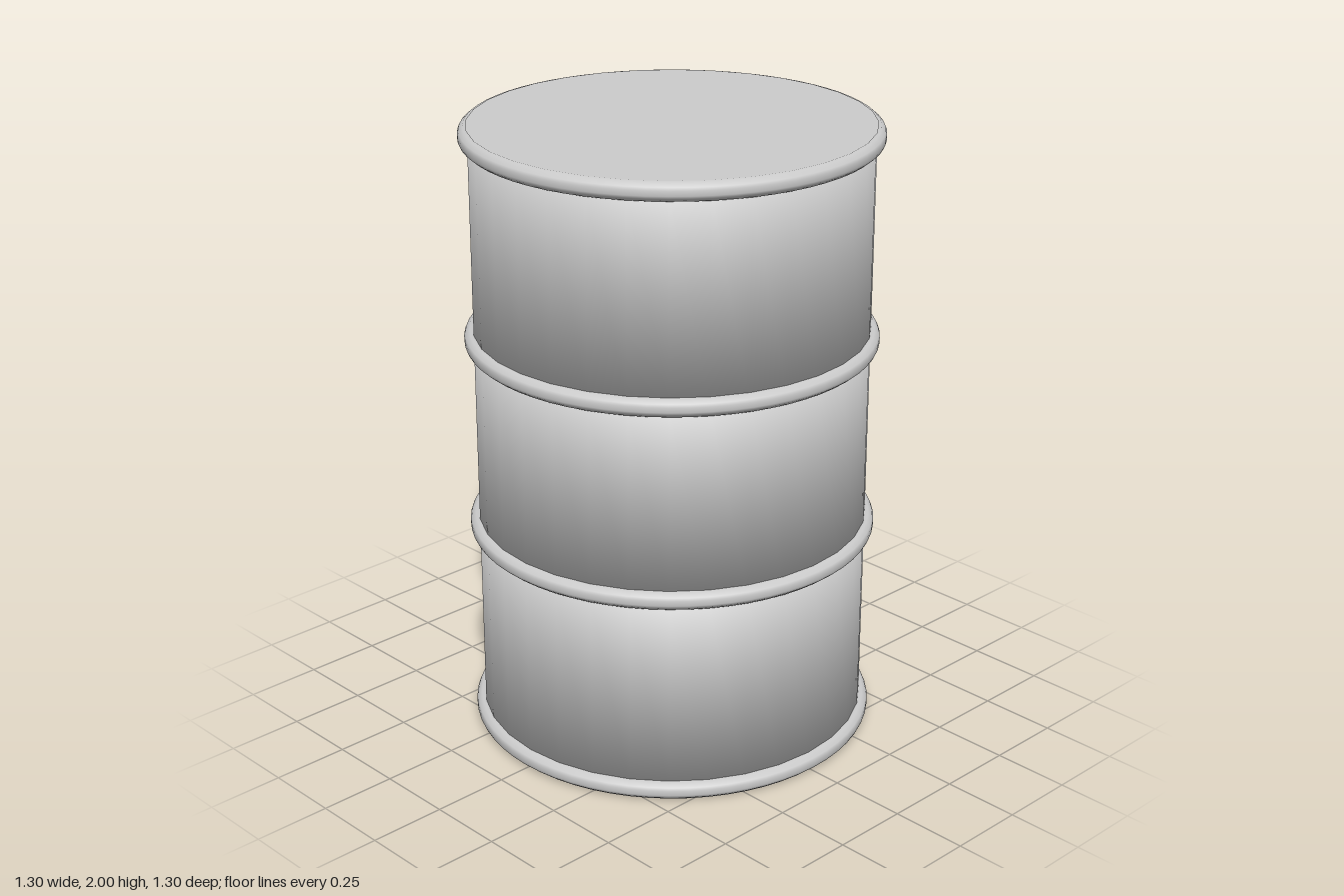
import * as THREE from 'three';

const material = new THREE.MeshStandardMaterial({ color: 0xcccccc });
const WALL = 0.625;
const RIM = 0.652;

function lathe(name, points, segments) {
  const profile = points.map(([r, y]) => new THREE.Vector2(r, y));
  const mesh = new THREE.Mesh(new THREE.LatheGeometry(profile, segments), material);
  mesh.name = name;
  return mesh;
}

export function createModel() {
  const group = new THREE.Group();
  group.name = 'barrel';

  // Rolled hoops: two rims at the ends and two around the body
  const hoopCentres = [0.03, 0.69, 1.317, 1.97];
  const hoopNames = ['bottomRim', 'lowerHoop', 'upperHoop', 'topRim'];
  hoopCentres.forEach((y, i) => {
    const hoop = lathe(hoopNames[i], [
      [WALL - 0.015, -0.029], [0.635, -0.028], [RIM - 0.004, -0.017], [RIM, -0.008],
      [RIM, 0.008], [RIM - 0.004, 0.017], [0.635, 0.028], [WALL - 0.015, 0.029],
    ], 64);
    hoop.position.y = y;
    group.add(hoop);
  });

  // Wall drums between the hoops, with normals softened over their closed ends
  ['lowerWall', 'middleWall', 'upperWall'].forEach((name, i) => {
    const [a, b] = [hoopCentres[i], hoopCentres[i + 1]];
    group.add(lathe(name, [[0, a], [WALL, a], [WALL, b], [0, b]], 32));
  });

  // Flat lid and base
  [['lid', 2, -1], ['base', 0, 1]].forEach(([name, y, turn]) => {
    const disc = new THREE.Mesh(new THREE.CircleGeometry(WALL + 0.003, 32), material);
    disc.name = name;
    disc.rotation.x = turn * Math.PI / 2;
    disc.position.y = y;
    group.add(disc);
  });

  return group;
}
